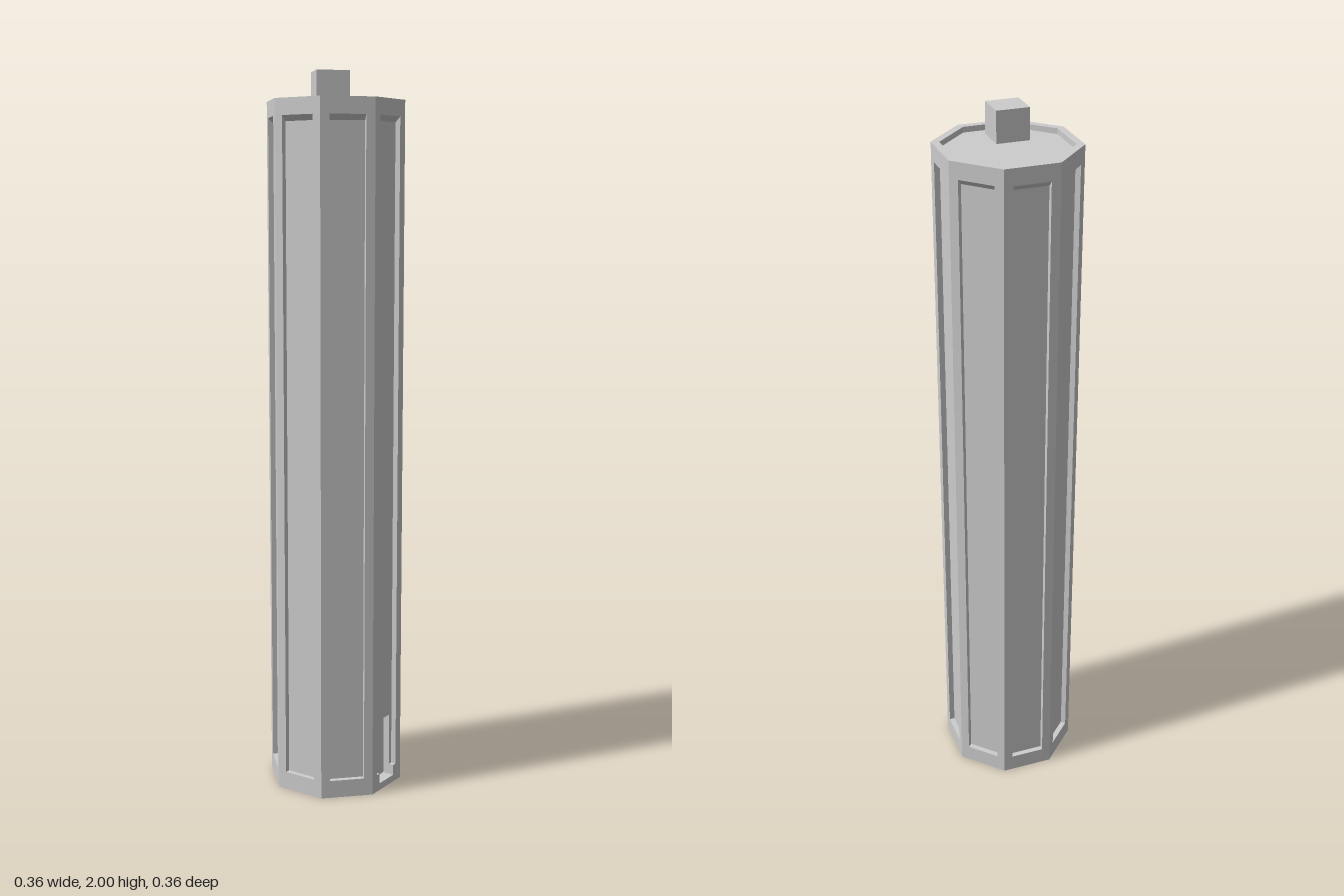
import * as THREE from 'three';

const APOTHEM = 0.178, HALF = APOTHEM * Math.tan(Math.PI / 8);
const TOP = 1.93, ROOF = 1.915, RIM = 0.158;
const PW = 0.049, P0 = 0.05, P1 = 1.885, PD = 0.015; // panel half width, bottom, top, depth
const NW = 0.037, N0 = 0.02, N1 = 0.2, ND = 0.034;   // doorway half width, bottom, top, depth

const concrete = new THREE.MeshStandardMaterial({ color: 0xcccccc });
concrete.name = 'concrete grey';

function add(parent, name, geometry) {
  const mesh = new THREE.Mesh(geometry, concrete);
  mesh.name = name;
  parent.add(mesh);
  return mesh;
}

// Flat outline with an optional hole, facing +z
function plate(outline, hole) {
  const shape = new THREE.Shape(outline.map(p => new THREE.Vector2(...p)));
  if (hole) shape.holes.push(new THREE.Path(hole.map(p => new THREE.Vector2(...p))));
  return new THREE.ShapeGeometry(shape);
}

// Flat-sided strip between an outer and an inner path of [x, y, z] points
function strip(outer, inner) {
  const pos = [];
  for (let i = 0; i + 1 < outer.length; i++) {
    const [a, b, c, d] = [outer[i], outer[i + 1], inner[i + 1], inner[i]];
    pos.push(...a, ...b, ...c, ...a, ...c, ...d);
  }
  const g = new THREE.BufferGeometry();
  g.setAttribute('position', new THREE.Float32BufferAttribute(pos, 3));
  g.computeVertexNormals();
  return g;
}

const rect = (w, y0, y1) => [[-w, y0], [w, y0], [w, y1], [-w, y1]];
const at = (path, z) => path.map(([x, y]) => [x, y, z]);

// Octagon corners with flat sides facing the axes
function octagon(apothem) {
  const r = apothem / Math.cos(Math.PI / 8);
  return Array.from({ length: 8 }, (_, i) => {
    const a = (i + 0.5) * Math.PI / 4;
    return [r * Math.cos(a), r * Math.sin(a)];
  });
}

// One side of the tower: frame, recessed panel and, if wanted, a doorway niche
function makeSide(hasDoor) {
  const side = new THREE.Group();
  const inTop = P1 - PD;
  const panel = rect(PW, P0, inTop);
  let opening = rect(PW, P0, P1), back = panel;
  if (hasDoor) {
    opening = [[-PW, P0], [-NW, P0], [-NW, N0], [NW, N0], [NW, P0], [PW, P0], [PW, P1], [-PW, P1]];
    back = [[-PW, P0], [-NW, P0], [-NW, N1], [NW, N1], [NW, P0], [PW, P0], [PW, inTop], [-PW, inTop]];
  }
  add(side, 'wallFrame', plate(rect(HALF, 0, TOP), opening));
  add(side, 'recessedPanel', plate(back)).position.z = -PD;

  // Reveals: straight sides and a sloping head
  add(side, 'panelReveal', strip(
    at([[PW, P0], [PW, P1], [-PW, P1], [-PW, P0]], 0),
    at([[PW, P0], [PW, inTop], [-PW, inTop], [-PW, P0]], -PD)));
  const sills = hasDoor ? [[-PW, -NW], [NW, PW]] : [[-PW, PW]];
  for (const [x0, x1] of sills) {
    const edge = [[x0, P0], [x1, P0]];
    add(side, 'panelSill', strip(at(edge, 0), at(edge, -PD)));
  }

  if (hasDoor) {
    add(side, 'doorBack', plate(rect(NW, N0, N1))).position.z = -ND;
    const low = [[-NW, P0], [-NW, N0], [NW, N0], [NW, P0]];
    const high = [[NW, P0], [NW, N1], [-NW, N1], [-NW, P0]];
    add(side, 'doorLowerReveal', strip(at(low, 0), at(low, -ND)));
    add(side, 'doorUpperReveal', strip(at(high, -PD), at(high, -ND)));
  }
  return side;
}

export function createModel() {
  const model = new THREE.Group();
  model.name = 'octagonalTower';

  // Eight walls, the doorway on the front left diagonal
  for (let i = 0; i < 8; i++) {
    const side = makeSide(i === 1);
    side.name = i === 1 ? 'doorWall' : 'wall';
    const a = i * Math.PI / 4;
    side.rotation.y = a;
    side.position.set(APOTHEM * Math.sin(a), 0, APOTHEM * Math.cos(a));
    model.add(side);
  }

  // Base, parapet and sunken roof
  const outer = octagon(APOTHEM), inner = octagon(RIM);
  add(model, 'base', plate(outer)).rotation.x = Math.PI / 2;
  const rim = add(model, 'parapetTop', plate(outer, inner));
  rim.rotation.x = -Math.PI / 2;
  rim.position.y = TOP;
  const loop = [...inner, inner[0]];
  const lip = add(model, 'parapetInside', strip(at(loop, TOP), at(loop, ROOF)));
  lip.geometry.dispose();
  lip.geometry = strip(
    loop.map(([x, z]) => [x, TOP, -z]),
    loop.map(([x, z]) => [x, ROOF, -z]));
  const roof = add(model, 'roof', plate(inner));
  roof.rotation.x = -Math.PI / 2;
  roof.position.y = ROOF;

  // Rooftop hut
  const hut = add(model, 'rooftopHut', new THREE.BoxGeometry(0.09, 2 - ROOF, 0.086));
  hut.position.set(-0.03, (2 + ROOF) / 2, 0.087);
  return model;
}
